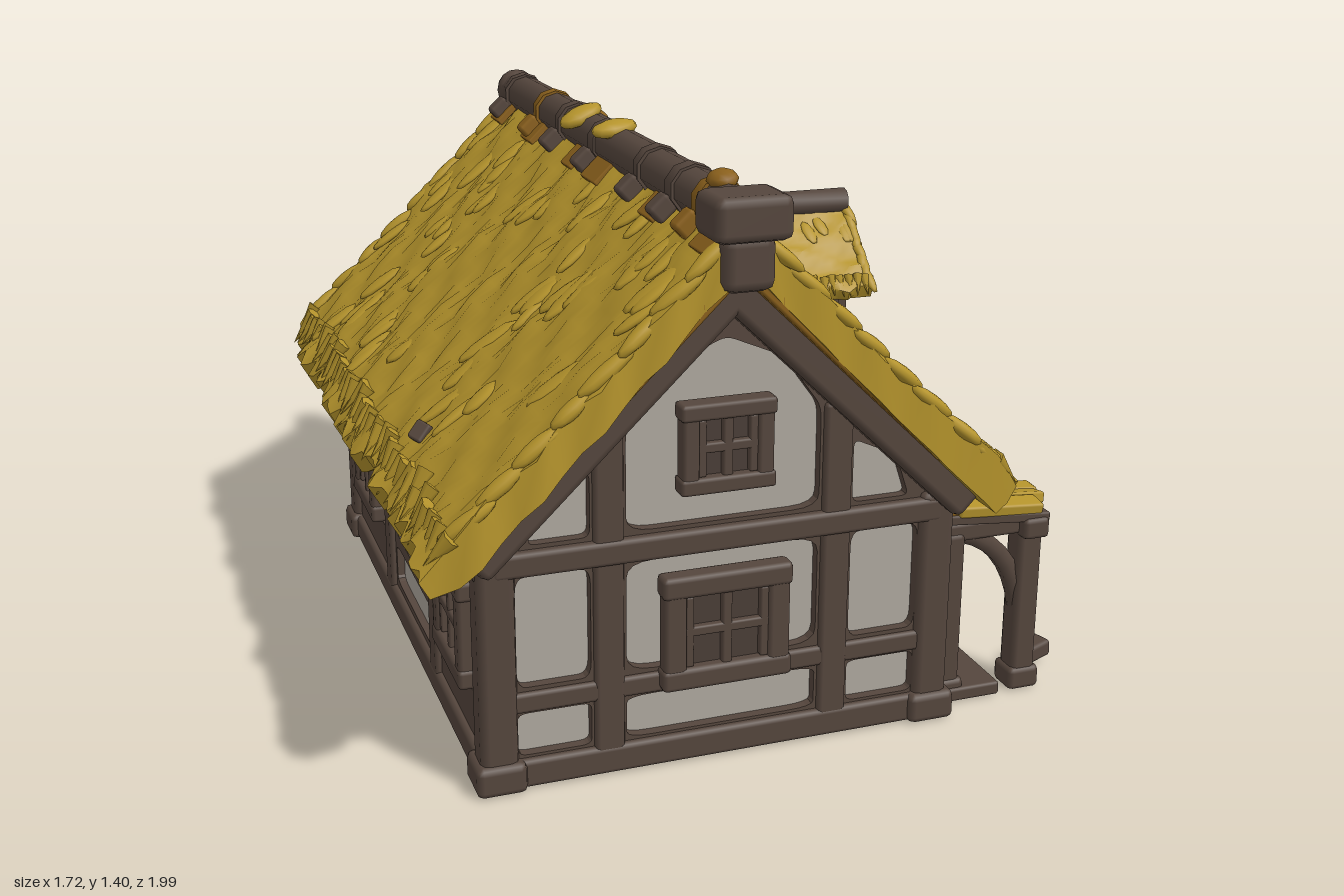
import * as THREE from 'three';
import { mergeGeometries, toCreasedNormals } from 'three/addons/utils/BufferGeometryUtils.js';
import { RoundedBoxGeometry } from 'three/addons/geometries/RoundedBoxGeometry.js';

const colour = (name, color) => Object.assign(new THREE.MeshStandardMaterial({ color }), { name });

export function createModel() {
  const thatch = colour('thatch', 0xb5942c), rust = colour('old thatch', 0x8a601c);
  const wood = colour('timber', 0x55463d), plaster = colour('plaster', 0xaea89f);
  const pane = colour('window pane', 0x4a3e37), under = colour('underside', 0x463a31);
  const root = new THREE.Group();
  root.name = 'cottage';
  const CX = -0.115; // centre line of the house
  let seed = 7;
  const rnd = (a = 0, b = 1) => { seed = (seed * 16807) % 2147483647; return a + (b - a) * seed / 2147483647; };

  const group = (parent, name, x = 0, y = 0, z = 0, ry = 0) => {
    const g = new THREE.Group();
    g.name = name; g.position.set(x, y, z); g.rotation.y = ry;
    parent.add(g);
    return g;
  };
  const add = (parent, name, geo, mat, x = 0, y = 0, z = 0) => {
    const m = new THREE.Mesh(geo, mat);
    m.name = name; m.position.set(x, y, z);
    parent.add(m);
    return m;
  };
  const box = (parent, name, mat, [w, h, d], [x, y, z], [rx, ry, rz] = [0, 0, 0]) => {
    const m = add(parent, name, new RoundedBoxGeometry(w, h, d, 1, Math.min(w, h, d) * 0.22), mat, x, y, z);
    m.rotation.set(rx, ry, rz);
  };
  // round timber running along z
  const log = (parent, name, mat, r, len, x, y, z, ry = 0) => {
    const geo = new THREE.CylinderGeometry(r, r, len, 10).rotateX(Math.PI / 2);
    add(parent, name, toCreasedNormals(geo, 0.8), mat, x, y, z).rotation.y = ry;
  };
  const poly = pts => pts.map(p => new THREE.Vector2(...p));
  // panel opening with softened corners
  const panel = pts => {
    const p = new THREE.Path(), v = poly(pts), n = v.length;
    v.forEach((c, i) => {
      const a = c.clone().lerp(v[(i + n - 1) % n], 0.14), b = c.clone().lerp(v[(i + 1) % n], 0.14);
      i ? p.lineTo(a.x, a.y) : p.moveTo(a.x, a.y);
      p.quadraticCurveTo(c.x, c.y, b.x, b.y);
    });
    p.closePath();
    return p;
  };
  const rect = (x0, y0, x1, y1) => panel([[x0, y0], [x1, y0], [x1, y1], [x0, y1]]);
  const extrude = (pts, holes, depth) => {
    const s = new THREE.Shape(poly(pts));
    s.holes.push(...holes);
    return new THREE.ExtrudeGeometry(s, { depth, bevelEnabled: false, curveSegments: 4 });
  };
  // cross-barred window facing +z
  const windowUnit = (parent, name, w, h, t, x, y, z) => {
    const g = group(parent, name, x, y, z);
    box(g, 'pane', pane, [w - t, h - t, 0.02], [0, 0, 0]);
    for (const s of [-1, 1]) {
      box(g, 'jamb', wood, [t, h, 0.05], [s * (w - t) / 2, 0, 0.01]);
      box(g, 'rail', wood, [w + 0.01, t, 0.056], [0, s * (h - t) / 2, 0.01]);
      box(g, 'sash', wood, [0.02, h - 2 * t, 0.035], [s * (w / 2 - t - 0.008), 0, 0.01]);
    }
    box(g, 'mullion', wood, [0.024, h - t, 0.035], [0, 0, 0.01]);
    box(g, 'crossbar', wood, [w - t, 0.024, 0.035], [0, 0, 0.01]);
  };

  // ---- walls ----
  const walls = group(root, 'walls');
  add(walls, 'plasterCore', extrude([[-0.66, 0.02], [0.43, 0.02], [0.43, 0.62], [CX, 1.17], [-0.66, 0.62]], [], 1.6), plaster, 0, 0, -0.8);
  box(walls, 'baseUnderside', under, [1.13, 0.02, 1.64], [CX, 0.012, 0]);

  for (const ry of [0, Math.PI]) { // front and back gables, built about the centre line
    const g = group(walls, ry ? 'backGable' : 'frontGable', CX, 0, 0, ry);
    const holes = [
      rect(-0.235, 0.25, 0.235, 0.52), rect(-0.235, 0.08, 0.235, 0.185),
      panel([[-0.235, 0.595], [0.235, 0.595], [0.235, 0.84], [0.14, 0.97], [0, 1.03], [-0.14, 0.97], [-0.235, 0.84]])];
    for (const s of [-1, 1]) {
      const [a, b] = s < 0 ? [-0.495, -0.32] : [0.32, 0.495];
      holes.push(rect(a, 0.25, b, 0.52), rect(a, 0.08, b, 0.185),
        panel([[s * 0.32, 0.595], [s * 0.465, 0.595], [s * 0.43, 0.70], [s * 0.32, 0.75]]));
    }
    add(g, 'frame', extrude([[-0.565, 0], [0.565, 0], [0.565, 0.62], [0, 1.19], [-0.565, 0.62]], holes, 0.04), wood, 0, 0, 0.785);
    for (const s of [-1, 1]) {
      box(g, 'stud', wood, [0.072, 0.82, 0.05], [s * 0.278, 0.44, 0.815]);
      box(g, 'bargeBeam', wood, [0.86, 0.09, 0.1], [s * 0.29, 0.872, 0.845], [0, 0, -s * 0.765]);
    }
    box(g, 'middleBeam', wood, [1.1, 0.06, 0.055], [0, 0.555, 0.82]);
    box(g, 'lowerRail', wood, [1.08, 0.05, 0.045], [0, 0.215, 0.815]);
    box(g, 'sill', wood, [1.12, 0.07, 0.055], [0, 0.038, 0.815]);
    windowUnit(g, 'lowerWindow', 0.31, 0.285, 0.055, 0, 0.34, 0.83);
    windowUnit(g, 'upperWindow', 0.22, 0.215, 0.04, 0, 0.78, 0.822);
    box(g, 'apexBlock', wood, [0.125, 0.13, 0.14], [0, 1.225, 0.9]);
  }
  for (const x of [-0.655, 0.425]) for (const z of [-0.8, 0.8]) {
    box(walls, 'cornerPost', wood, [0.09, 0.6, 0.09], [x, 0.3, z]);
    box(walls, 'postFoot', wood, [0.12, 0.075, 0.12], [x, 0.038, z]);
  }

  // long walls, u runs left to right as seen from outside
  const side = (name, x, ry, holes, studs) => {
    const g = group(walls, name, x, 0, 0, ry);
    add(g, 'frame', extrude([[-0.81, 0], [0.81, 0], [0.81, 0.62], [-0.81, 0.62]], holes, 0.04), wood, 0, 0, -0.025);
    for (const u of studs) box(g, 'stud', wood, [0.075, 0.55, 0.045], [u, 0.3, 0.008]);
    box(g, 'sill', wood, [1.6, 0.07, 0.055], [0, 0.038, 0.005]);
    box(g, 'wallPlate', wood, [1.66, 0.06, 0.06], [0, 0.55, 0.01]);
    return g;
  };
  const stack = (a, b) => [[0.09, 0.2], [0.235, 0.35], [0.39, 0.5]].map(([y0, y1]) => rect(a, y0, b, y1));
  const right = side('rightWall', 0.435, Math.PI / 2, [...stack(0.03, 0.235), rect(0.345, 0.19, 0.75, 0.5)], [-0.015, 0.28]);
  windowUnit(right, 'sideWindow', 0.28, 0.27, 0.05, 0.505, 0.33, 0.015);
  windowUnit(right, 'porchWindow', 0.27, 0.25, 0.045, -0.43, 0.33, 0.02);
  for (let i = 0; i < 5; i++) box(right, 'porchPlank', wood, [0.7, 0.084, 0.02], [-0.42, 0.11 + i * 0.088, 0.01]);
  const left = side('leftWall', -0.665, -Math.PI / 2, [...stack(-0.2, 0.26), rect(-0.74, 0.19, -0.3, 0.5), rect(0.36, 0.19, 0.74, 0.5)], [-0.25, 0.31]);
  for (const u of [-0.52, 0.55]) windowUnit(left, 'sideWindow', 0.28, 0.27, 0.05, u, 0.33, 0.012);

  // ---- thatch ----
  // one lumpy slope: cross-section loop swept along z, plus overlapping tufts
  const slope = (parent, s, o) => {
    const { run, drop, top, thick, half, tufts, size } = o, M = 16, K = Math.round(half * 80), P = 2 * M;
    const surf = t => top - drop * t - 0.008 * size * Math.sin(Math.PI * t);
    const pos = [], idx = [];
    const tri = (a, b, c) => s > 0 ? idx.push(a, b, c) : idx.push(a, c, b);
    for (let k = 0; k <= K; k++) {
      const ragged = rnd(-0.022, 0.022) * size;
      for (let i = 0; i < P; i++) {
        const up = i < M, t = (up ? i : P - 1 - i) / (M - 1), eave = t === 1;
        const z = (k / K * 2 - 1) * (half + (k % K ? 0 : 0.012 * Math.sin(t * 31)));
        const lump = up ? size * (0.006 * Math.sin(17 * z + 13 * t) + 0.006 * Math.sin(29 * z - 23 * t) + rnd(-0.004, 0.004)) : 0;
        const x = run * t * (up ? 1 : 0.96) + (eave ? ragged : 0);
        pos.push(s * (x + lump * 0.6), surf(t) + lump - (up ? 0 : thick * (eave ? 0.5 : 1)) - (eave ? ragged : 0), z);
      }
    }
    for (let k = 0; k < K; k++) for (let i = 0; i < P; i++) {
      const a = k * P + i, b = k * P + (i + 1) % P;
      tri(a, a + P, b); tri(b, a + P, b + P);
    }
    for (let i = 0; i < M - 1; i++) for (const [k, f] of [[0, -1], [K, 1]]) {
      const t0 = k * P + i, t1 = t0 + 1, b0 = k * P + P - 1 - i, b1 = b0 - 1;
      f > 0 ? (tri(t0, b0, b1), tri(t0, b1, t1)) : (tri(t0, b1, b0), tri(t0, t1, b1));
    }
    const geo = new THREE.BufferGeometry();
    geo.setAttribute('position', new THREE.Float32BufferAttribute(pos, 3));
    geo.setIndex(idx);
    add(parent, 'thatchSlope', toCreasedNormals(geo, 0.8), thatch);

    const len = Math.hypot(run, drop), list = [];
    const T = new THREE.Vector3(s * run, -drop, 0).divideScalar(len), N = new THREE.Vector3(s * drop, run, 0).divideScalar(len);
    const place = (g, t, z, l, h, w, tilt) => {
      g.scale(size * l, size * h, size * w).rotateY(rnd(-0.25, 0.25)).rotateZ(tilt);
      g.applyMatrix4(new THREE.Matrix4().makeBasis(T, N, new THREE.Vector3(0, 0, s)).setPosition(s * run * t, surf(t), z));
      list.push(g);
    };
    const clump = () => new THREE.SphereGeometry(1, 9, 6);
    const spike = () => new THREE.ConeGeometry(1, 2, 6).rotateZ(-Math.PI / 2);
    for (let i = 0; i < tufts; i++) place(clump(), rnd(0.08, 0.92), rnd(-0.95, 0.95) * half, rnd(0.055, 0.1), 0.011, rnd(0.02, 0.036), 0.13);
    for (let z = -half + 0.02; z < half; z += 0.04 * size) place(spike(), rnd(0.93, 0.965), z, rnd(0.04, 0.06), 0.022, rnd(0.022, 0.034), rnd(-0.2, -0.02));
    for (const e of [-1, 1]) for (let t = 0.1; t < 0.98; t += 0.11) place(clump(), t, e * half * 0.98, rnd(0.06, 0.09), 0.018, 0.024, 0.1);
    add(parent, 'thatchTufts', mergeGeometries(list), thatch);
  };
  const roof = group(root, 'roof', CX);
  for (const s of [-1, 1]) {
    slope(roof, s, { run: 0.715, drop: 0.695, top: 1.315, thick: 0.1, half: 0.94, tufts: 50, size: 1 });
    for (const e of [-1, 1]) box(roof, 'oldThatchEdge', rust, [0.86, 0.035, 0.05], [s * 0.33, 0.892, e * 0.905], [0, 0, -s * 0.77]);
    // worn thatch showing beside the ridge
    for (const [z, w] of [[0.87, 0.1], [0.52, 0.09], [0.08, 0.12], [-0.12, 0.08], [-0.52, 0.1], [-0.87, 0.1]])
      box(roof, 'ridgeOldThatch', rust, [0.07, 0.02, w], [s * 0.06, 1.262, z], [0, 0, -s * 0.77]);
  }
  for (const [x, y, z] of [[0.1, 1.215, 0.67], [0.18, 1.138, -0.74], [0.53, 0.793, -0.35], [-0.6, 0.725, 0.38]])
    box(roof, 'roofChip', wood, [0.05, 0.03, 0.045], [x, y, z], [0.2, 0.5, x < 0 ? 0.76 : -0.76]);

  // ridge pole with bindings
  log(roof, 'ridgePole', wood, 0.054, 1.9, 0, 1.318, 0);
  box(roof, 'ridgeFrontBlock', wood, [0.18, 0.1, 0.15], [0, 1.325, 0.92]);
  add(roof, 'ridgeBackKnob', new THREE.SphereGeometry(0.06, 12, 8), wood, 0, 1.318, -0.935);
  for (const [z, mat] of [[0.77, rust], [0.37, wood], [-0.3, wood], [-0.52, rust], [-0.85, wood], [0, wood], [0.6, wood]]) {
    log(roof, 'ridgeBinding', mat, 0.06, 0.05, 0, 1.318, z, rnd(-0.2, 0.2));
    for (const s of [-1, 1]) box(roof, 'bindingEnd', mat, [0.06, 0.05, 0.05], [s * 0.07, 1.275, z + s * 0.012], [0, 0, -s * 0.75]);
  }
  // straw wads caught on the ridge
  for (const [x, y, z, w, m, tilt] of [[-0.02, 1.37, 0.09, 0.13, thatch, 0.1], [-0.035, 1.365, -0.15, 0.13, thatch, 0.35], [0, 1.375, 0.79, 0.07, rust, 0.2], [0.06, 1.33, -0.3, 0.06, rust, -0.8]])
    add(roof, 'ridgeStraw', new THREE.SphereGeometry(1, 10, 6).scale(w / 2, 0.022, 0.04), m, x, y, z).rotation.set(0.1, 0.25, tilt);

  // ---- dormer, built facing +z then turned to the right side ----
  const dormer = group(root, 'dormer', 0, 0, -0.07, Math.PI / 2);
  add(dormer, 'dormerBody', extrude([[-0.115, 0.7], [0.115, 0.7], [0.115, 0.92], [0, 1.07], [-0.115, 0.92]], [], 0.37), wood, 0, 0, 0.15);
  windowUnit(dormer, 'dormerWindow', 0.19, 0.15, 0.03, 0, 0.82, 0.52);
  box(dormer, 'dormerSill', wood, [0.24, 0.03, 0.05], [0, 0.748, 0.515]);
  const dormerRoof = group(dormer, 'dormerRoof', 0, 0, 0.35);
  for (const s of [-1, 1]) {
    slope(dormerRoof, s, { run: 0.195, drop: 0.2, top: 1.1, thick: 0.04, half: 0.235, tufts: 10, size: 0.6 });
    box(dormer, 'dormerBarge', wood, [0.2, 0.03, 0.03], [s * 0.07, 0.985, 0.54], [0, 0, -s * 0.85]);
    box(dormer, 'dormerOldThatch', rust, [0.11, 0.02, 0.2], [s * 0.14, 0.835, 0.385], [0.77, 0, 0]);
  }
  log(dormer, 'dormerRidge', wood, 0.034, 0.48, 0, 1.105, 0.34);

  // ---- porch ----
  const porch = group(root, 'porch');
  box(porch, 'porchFloor', wood, [0.2, 0.035, 0.74], [0.55, 0.02, 0.42]);
  for (const [x, z] of [[0.725, 0.74], [0.63, 0.18], [0.725, 0.11], [0.51, 0.74]]) {
    box(porch, 'porchPost', wood, [0.065, 0.45, 0.07], [x, 0.225, z]);
    box(porch, 'porchPostFoot', wood, [0.085, 0.06, 0.085], [x, 0.03, z]);
  }
  box(porch, 'wallPost', wood, [0.07, 0.5, 0.09], [0.475, 0.25, 0.01]);
  box(porch, 'porchBeam', wood, [0.07, 0.055, 0.76], [0.725, 0.445, 0.42]);
  for (const z of [0.74, 0.11]) {
    box(porch, 'porchCrossBeam', wood, [0.32, 0.05, 0.06], [0.6, 0.45, z]);
    const curve = new THREE.QuadraticBezierCurve3(new THREE.Vector3(0.5, 0.45, z), new THREE.Vector3(0.68, 0.42, z), new THREE.Vector3(0.715, 0.22, z));
    add(porch, 'curvedBrace', new THREE.TubeGeometry(curve, 8, 0.026, 6), wood);
  }
  box(porch, 'porchRoofBoards', wood, [0.31, 0.025, 0.74], [0.61, 0.483, 0.42], [0, 0, -0.09]);
  box(porch, 'porchOldThatch', rust, [0.2, 0.02, 0.73], [0.56, 0.507, 0.42], [0, 0, -0.09]);
  for (let i = 0; i < 14; i++) {
    const end = rnd(0.74, 0.805), start = rnd(0.5, 0.62), l = end - start;
    box(porch, 'porchThatchStrip', thatch, [l, 0.03, 0.057], [start + l / 2, 0.505 + rnd(-0.006, 0.006) - 0.09 * (start + l / 2 - 0.63), 0.075 + i * 0.053], [rnd(-0.2, 0.2), rnd(-0.06, 0.06), -0.09]);
  }
  box(porch, 'hangingBundle', thatch, [0.035, 0.12, 0.045], [0.52, 0.34, 0.26], [0.15, 0, 0.25]);
  box(porch, 'porchStep', rust, [0.13, 0.055, 0.17], [0.7, 0.045, 0.155]);
  box(porch, 'steppingStone', wood, [0.1, 0.045, 0.06], [0.81, 0.04, 0.66], [0, 0.3, 0.1]);

  // ---- firewood heap ----
  const heap = group(root, 'firewood');
  for (let row = 0; row < 4; row++) for (let i = 0; i < 7 - row; i++)
    log(heap, 'firewoodLog', wood, rnd(0.022, 0.03), rnd(0.13, 0.19), 0.55 - row * 0.014 + rnd(-0.02, 0.02), 0.03 + row * 0.042,
      -0.5 + (i - (6 - row) / 2) * 0.06, i % 3 ? Math.PI / 2 + rnd(-0.4, 0.4) : rnd(-0.4, 0.4));
  log(heap, 'looseLog', wood, 0.028, 0.15, 0.62, 0.035, -0.71, Math.PI / 2 + 0.3);

  return root;
}
